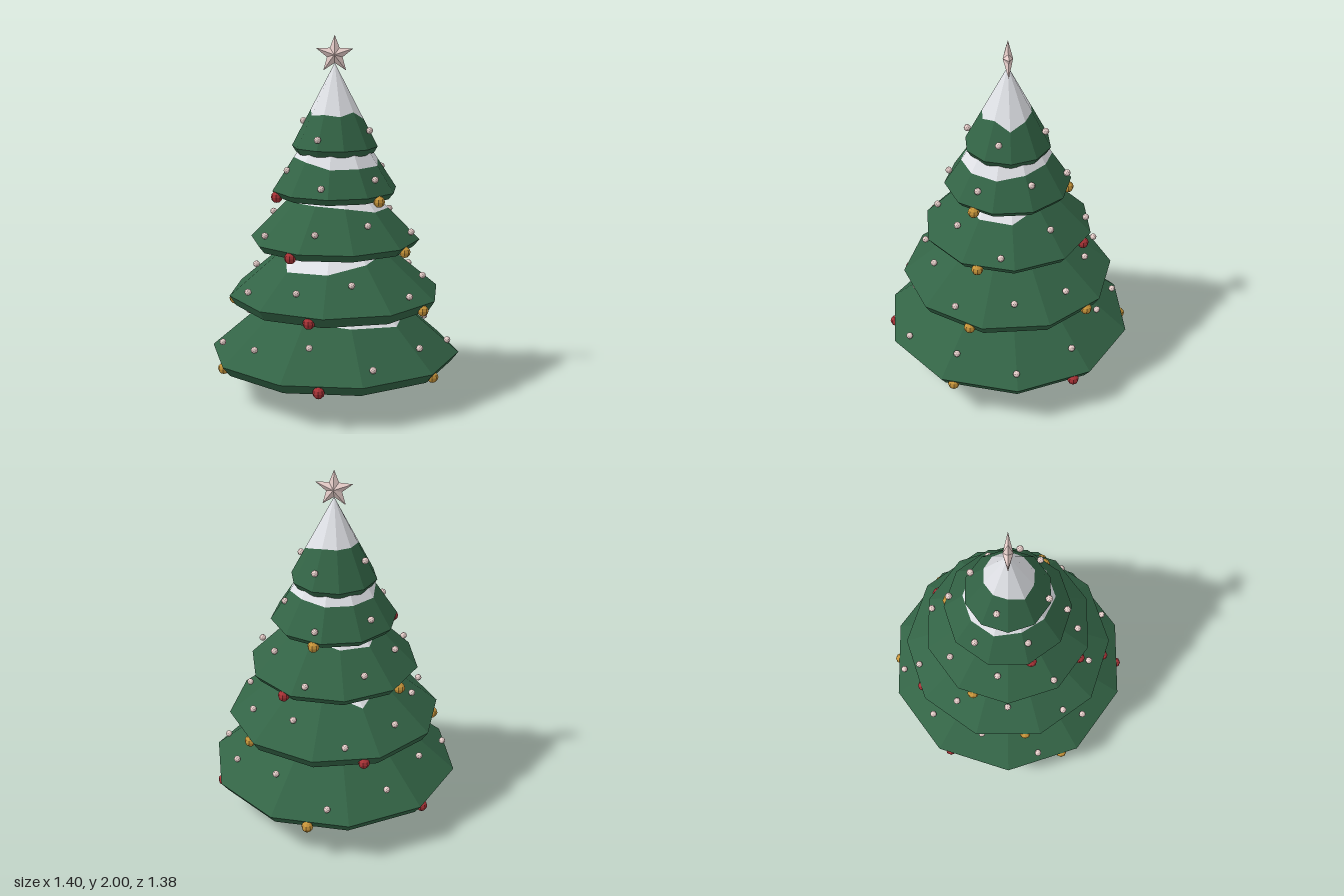
import * as THREE from 'three';

const flat = (name, color) => {
  const m = new THREE.MeshStandardMaterial({ color, flatShading: true });
  m.name = name;
  return m;
};

// Point at an azimuth in degrees (0 = front, 90 = +x)
const polar = (deg, r, y) => {
  const a = THREE.MathUtils.degToRad(deg);
  return [Math.sin(a) * r, y, Math.cos(a) * r];
};

// Faces between two rings of equal count, lower ring first
function band(lower, upper) {
  const out = [];
  lower.forEach((a, i) => {
    const j = (i + 1) % lower.length;
    out.push(...a, ...lower[j], ...upper[j], ...a, ...upper[j], ...upper[i]);
  });
  return out;
}

function geometry(points) {
  const g = new THREE.BufferGeometry();
  g.setAttribute('position', new THREE.Float32BufferAttribute(points, 3));
  g.computeVertexNormals();
  return g;
}

// Tiers from the ground up. snow: snow-line height at each of the ten corners.
// Baubles: start angle, radius, height, colours (R red, G gold).
// Lights: start angle, [radius, height] for low, middle, high, and their order.
const TIERS = [
  { r: 0.70, rim: 0.235, base: 0.18, rBase: 0.657, apex: 0.84, turn: 18,
    snow: [0.47, 0.45, 0.49, 0.45, 0.46, 0.48, 0.52, 0.51, 0.52, 0.49],
    baubles: [-1.3, 0.66, 0.2, 'RGRGRG'],
    lights: [-8.4, { L: [0.635, 0.305], M: [0.587, 0.35], H: [0.54, 0.4] }, 'HLMLMHLMHLM'] },
  { r: 0.595, rim: 0.575, base: 0.52, rBase: 0.56, apex: 1.07, turn: 0,
    snow: [0.755, 0.79, 0.82, 0.82, 0.82, 0.83, 0.76, 0.82, 0.84, 0.75],
    baubles: [-8, 0.56, 0.54, 'RGGRG'],
    lights: [-18.4, { L: [0.54, 0.635], M: [0.492, 0.675], H: [0.445, 0.715] }, 'MHLMMHLMHL'] },
  { r: 0.472, rim: 0.88, base: 0.84, rBase: 0.44, apex: 1.355, turn: 18,
    snow: [1.09, 1.06, 1.055, 1.1, 1.11, 1.08, 1.07, 1.11, 1.1, 1.1],
    baubles: [-26, 0.445, 0.85, 'RGRG'],
    lights: [-9.4, { L: [0.435, 0.935], M: [0.395, 0.975], H: [0.357, 1.01] }, 'MHLHLMHL'] },
  { r: 0.35, rim: 1.155, base: 1.12, rBase: 0.32, apex: 1.69, turn: 0,
    snow: [1.3, 1.3, 1.3, 1.32, 1.33, 1.32, 1.32, 1.32, 1.34, 1.33],
    baubles: [-68, 0.33, 1.125, 'RGG'],
    lights: [-7, { L: [0.324, 1.21], M: [0.297, 1.24], H: [0.272, 1.27] }, 'LMHLMH'] },
  { r: 0.237, rim: 1.395, base: 1.36, rBase: 0.215, apex: 1.85, turn: 18,
    snow: [1.57, 1.59, 1.545, 1.58, 1.6, 1.6, 1.6, 1.6, 1.57, 1.58],
    baubles: [0, 0, 0, ''],
    lights: [-18, { L: [0.226, 1.455], M: [0.207, 1.49], H: [0.19, 1.525] }, 'LMMH'] },
];

export function createModel() {
  const green = flat('pine green', 0x336446);
  const white = flat('snow white', 0xeef0f5);
  const brown = flat('bark brown', 0x5e3b25);
  const red = flat('bauble red', 0xa83236);
  const gold = flat('bauble gold', 0xc8953a);
  const glow = flat('pale rose', 0xe8cfcb);

  const tree = new THREE.Group();
  tree.name = 'decoratedTree';
  const add = (parent, name, geo, mat, pos = [0, 0, 0]) => {
    const mesh = new THREE.Mesh(geo, mat);
    mesh.name = name;
    mesh.position.set(...pos);
    parent.add(mesh);
    return mesh;
  };

  // Trunk
  add(tree, 'trunk', new THREE.CylinderGeometry(0.073, 0.093, 0.22, 8), brown, [0, 0.11, 0])
    .rotation.y = Math.PI / 8;

  const baubleGeo = new THREE.SphereGeometry(0.032, 8, 6);
  const lightGeo = new THREE.IcosahedronGeometry(0.019, 1);

  TIERS.forEach((t, n) => {
    const tier = new THREE.Group();
    tier.name = `tier${n + 1}`;
    tree.add(tier);

    // Rings of the tier: underside, rim, snow line, apex
    const ring = (fn) => t.snow.map((y, i) => polar(t.turn + i * 36, ...fn(y)));
    const centre = ring(() => [0, t.base]);
    const base = ring(() => [t.rBase, t.base]);
    const rim = ring(() => [t.r, t.rim]);
    const snowLine = ring((y) => [t.r * (t.apex - y) / (t.apex - t.rim), y]);
    const apex = ring(() => [0, t.apex]);

    add(tier, 'branches', geometry([
      ...band(centre, base), ...band(base, rim), ...band(rim, snowLine),
    ]), green);
    add(tier, 'snow', geometry(band(snowLine, apex)), white);

    // Baubles hanging round the rim
    const [bStart, bRadius, bHeight, colours] = t.baubles;
    [...colours].forEach((c, i) => add(tier, 'bauble', baubleGeo, c === 'R' ? red : gold,
      polar(bStart + i * 360 / colours.length, bRadius, bHeight)));

    // Small lights on the slope
    const [lStart, levels, order] = t.lights;
    [...order].forEach((k, i) => add(tier, 'light', lightGeo, glow,
      polar(lStart + i * 360 / order.length, ...levels[k])));
  });

  // Five-pointed star, ridged on both faces
  const outline = [];
  for (let i = 0; i < 10; i++) {
    const a = Math.PI / 2 + i * Math.PI / 5;
    const r = i % 2 ? 0.045 : 0.106;
    outline.push([Math.cos(a) * r, Math.sin(a) * r, 0]);
  }
  const star = [];
  outline.forEach((p, i) => {
    const q = outline[(i + 1) % 10];
    star.push(0, 0, 0.027, ...p, ...q, 0, 0, -0.027, ...q, ...p);
  });
  add(tree, 'star', geometry(star), glow, [0, 1.894, 0]);

  return tree;
}
